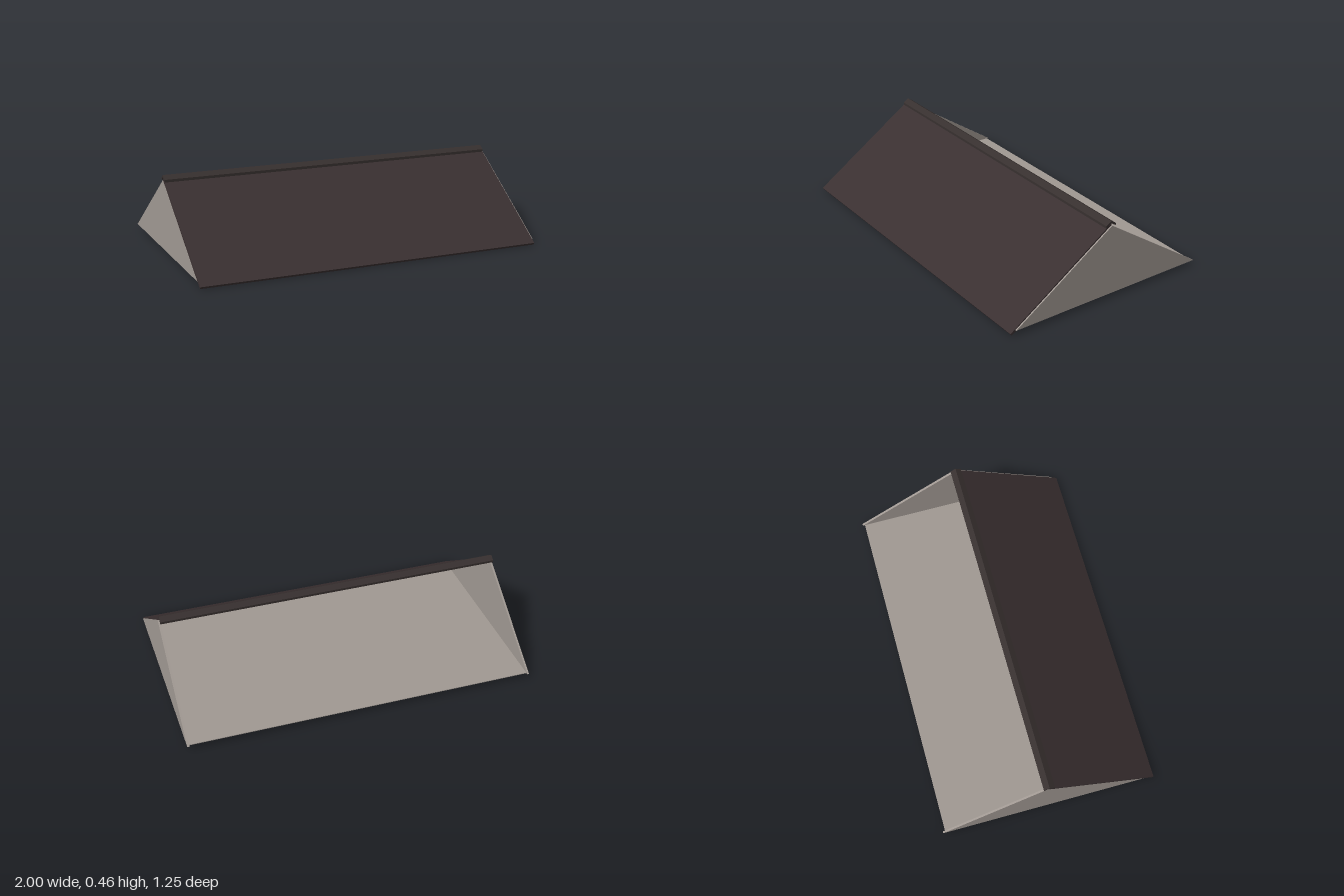
import * as THREE from 'three';

// Extrudes a [z, y] cross-section along x from x0 to x1.
function prism(name, points, x0, x1, material) {
  const shape = new THREE.Shape(points.map(([z, y]) => new THREE.Vector2(-z, y)));
  const geometry = new THREE.ExtrudeGeometry(shape, { depth: x1 - x0, bevelEnabled: false });
  geometry.rotateY(Math.PI / 2).translate(x0, 0, 0);
  const mesh = new THREE.Mesh(geometry, material);
  mesh.name = name;
  return mesh;
}

export function createModel() {
  const wall = new THREE.MeshStandardMaterial({ name: 'warm grey wall', color: 0xa09892 });
  const roof = new THREE.MeshStandardMaterial({ name: 'dark brown roof', color: 0x3a3031 });
  const trim = new THREE.MeshStandardMaterial({ name: 'dark ridge trim', color: 0x37302f });

  const group = new THREE.Group();
  group.name = 'gableRoof';

  // Single front slope; the back stays open
  group.add(prism('frontSlope',
    [[0.617, 0], [0.625, 0.012], [-0.015, 0.446], [-0.015, 0.432]], -1, 0.992, roof));

  // Folded cap over the ridge
  group.add(prism('ridgeCap',
    [[0.017, 0.424], [0.017, 0.439], [-0.015, 0.46], [-0.045, 0.44], [-0.045, 0.427], [-0.015, 0.447]],
    -1, 0.992, trim));

  // Triangular end walls
  const gable = [[0.595, 0.025], [-0.015, 0.436], [-0.625, 0.025]];
  group.add(prism('rightGable', gable, -0.998, -0.987, wall));
  group.add(prism('leftGable', gable, 0.987, 1, wall));

  // Thin ceiling panel closing the underside
  group.add(prism('floorPanel',
    [[0.597, 0.023], [0.597, 0.027], [-0.612, 0.027], [-0.612, 0.023]], -0.99, 0.99, wall));

  return group;
}
